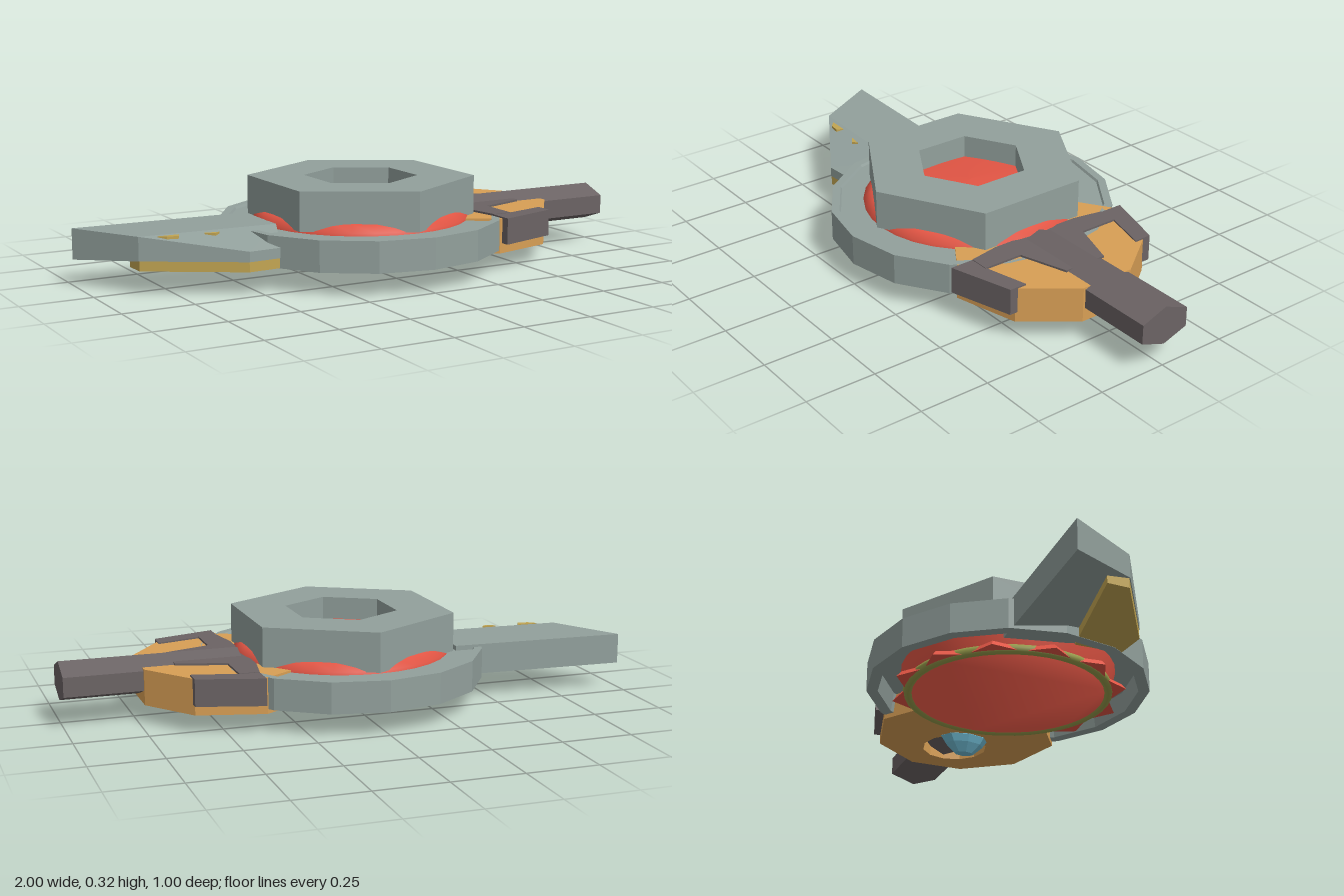
import * as THREE from 'three';

const mat = (name, color) => {
  const m = new THREE.MeshStandardMaterial({ color });
  m.name = name;
  return m;
};

export function createModel() {
  const model = new THREE.Group();
  const grey = mat('grey green', 0x92a09c);
  const red = mat('red', 0xe25544);
  const orange = mat('orange', 0xd89f55);
  const dark = mat('dark grey', 0x6b6364);
  const blue = mat('blue', 0x70bcd4);
  const olive = mat('olive', 0x969a4a);
  const gold = mat('gold', 0xc2a552);

  const add = (name, geo, material) => {
    const mesh = new THREE.Mesh(geo, material);
    mesh.name = name;
    model.add(mesh);
    return mesh;
  };
  const flat = (geo) => {
    const g = geo.index ? geo.toNonIndexed() : geo;
    g.computeVertexNormals();
    return g;
  };
  const v2 = ([x, z]) => new THREE.Vector2(x, -z);
  // Upright prism from an outline of [x, z] points
  const prism = (pts, y0, y1, hole) => {
    const shape = new THREE.Shape(pts.map(v2));
    if (hole) shape.holes.push(new THREE.Path(hole.map(v2)));
    return new THREE.ExtrudeGeometry(shape, { depth: y1 - y0, bevelEnabled: false })
      .rotateX(-Math.PI / 2).translate(0, y0, 0);
  };
  // Move every vertex by a rule, then restore flat normals
  const bend = (geo, rule) => {
    const p = geo.attributes.position;
    for (let i = 0; i < p.count; i++) {
      const v = new THREE.Vector3().fromBufferAttribute(p, i);
      rule(v);
      p.setXYZ(i, v.x, v.y, v.z);
    }
    return flat(geo);
  };
  const polygon = (n, radii, cx = 0) => Array.from({ length: n }, (_, i) => {
    const a = (i / n) * Math.PI * 2;
    const r = radii[i % radii.length];
    return [cx + Math.sin(a) * r, Math.cos(a) * r];
  });
  const mirrorZ = (pts) => pts.concat(pts.map(([x, z]) => [x, -z]).reverse());
  const lathe = (pts, n) => new THREE.LatheGeometry(pts.map((p) => new THREE.Vector2(...p)), n);

  // Sixteen sided outer ring, hollow underneath
  add('outerRing', flat(lathe([
    [0.36, 0.15], [0.45, 0.15], [0.46, 0.08], [0.5, 0.08], [0.5, 0.188],
    [0.472, 0.188], [0.467, 0.18], [0.36, 0.18],
  ], 16)), grey);

  // Hexagonal nut over the dome
  add('hexNut', prism(polygon(6, [0.4]), 0.188, 0.325, polygon(6, [0.2])), grey);

  // Red dome with a toothed skirt that closes it below
  add('dome', lathe([
    [0.36, 0.07], [0.38, 0.15], [0.38, 0.19], [0.352, 0.214], [0.28, 0.234], [0.17, 0.247], [0, 0.254],
  ], 32), red);
  add('toothedSkirt', bend(prism(polygon(24, [0.415, 0.36]), 0.065, 0.085), (v) => {
    if (v.y > 0.08) { v.x *= 0.96; v.z *= 0.96; }
  }), red);

  // Smoothly shaded base plate whose rim normals lean outward
  const base = new THREE.ShapeGeometry(new THREE.Shape(polygon(24, [0.35]).map(v2)))
    .rotateX(Math.PI / 2).translate(0, 0.063, 0);
  const rim = base.attributes.position;
  for (let i = 0; i < rim.count; i++) {
    const n = new THREE.Vector3(rim.getX(i), -0.12, rim.getZ(i)).normalize();
    base.attributes.normal.setXYZ(i, n.x, n.y, n.z);
  }
  add('basePlate', base, red);

  // Olive rim showing between the teeth
  add('lowerRing', new THREE.TorusGeometry(0.353, 0.018, 8, 40).rotateX(Math.PI / 2)
    .translate(0, 0.074, 0), olive);

  // Orange shoulder wrapped round the ring: lower plate with a socket, solid upper plate
  const arc = [];
  for (let i = 1; i <= 5; i++) {
    const a = (i / 5) * 0.8;
    arc.push([Math.cos(a) * 0.355, Math.sin(a) * 0.355]);
  }
  const shoulder = mirrorZ([...arc, [0.37, 0.335], [0.6, 0.275], [0.73, 0.1]]);
  add('shoulderLower', prism(shoulder, 0.064, 0.14, polygon(12, [0.12], 0.53)), orange);
  add('shoulderUpper', prism(shoulder, 0.14, 0.188), orange);
  add('socketFloor', prism(polygon(12, [0.12], 0.53), 0.125, 0.14), dark);

  // Dark side clamps and the strip that joins them
  for (const s of [1, -1]) {
    add(s > 0 ? 'frontClamp' : 'backClamp', prism([
      [0.38, 0.365 * s], [0.605, 0.298 * s], [0.605, 0.235 * s], [0.45, 0.275 * s], [0.38, 0.275 * s],
    ], 0.1, 0.193), dark);
  }
  add('clampBridge', prism(mirrorZ([
    [0.36, 0.17], [0.38, 0.28], [0.45, 0.28], [0.45, 0.135], [0.62, 0.08],
  ]), 0.15, 0.195), dark);

  // Six sided arm
  const section = new THREE.Shape([
    [0, 0.215], [-0.092, 0.18], [-0.092, 0.112], [0, 0.08], [0.092, 0.112], [0.092, 0.18],
  ].map((p) => new THREE.Vector2(...p)));
  add('arm', new THREE.ExtrudeGeometry(section, { depth: 0.62, bevelEnabled: false })
    .rotateY(Math.PI / 2).translate(0.38, 0, 0), dark);

  // Faceted gem under the shoulder
  const gem = add('gem', flat(lathe([
    [0, 0.001], [0.037, 0.002], [0.074, 0.036], [0.092, 0.062], [0.05, 0.085], [0, 0.09],
  ], 8)), blue);
  gem.scale.x = 0.6;
  gem.position.x = 0.43;

  // Wing: thick back half and a front half thinning to an edge
  const thin = (v) => {
    if (v.z > 0 && v.y < 0.15) v.y = 0.115;
    else if (v.z > 0.2) v.y = 0.15;
  };
  add('wingBack', bend(prism([
    [-1, -0.195], [-0.37, -0.17], [-0.37, 0.07], [-0.86, 0.05],
  ], 0.09, 0.197), thin), grey);
  add('wingFront', bend(prism([
    [-0.86, 0.05], [-0.37, 0.07], [-0.43, 0.232], [-0.55, 0.24],
  ], 0.09, 0.197), thin), grey);

  // Gold strip beneath the front of the wing, with two ridges breaking through its top
  add('wingStrip', prism([
    [-0.857, 0.048], [-0.86, -0.03], [-0.43, 0.06], [-0.43, 0.23], [-0.55, 0.238],
  ], 0.081, 0.117), gold);
  add('outerRidge', prism([[-0.8, 0.068], [-0.725, 0.07], [-0.735, 0.095], [-0.775, 0.09]], 0.11, 0.196), gold);
  add('innerRidge', prism([[-0.64, 0.085], [-0.59, 0.092], [-0.61, 0.105]], 0.11, 0.195), gold);

  return model;
}
